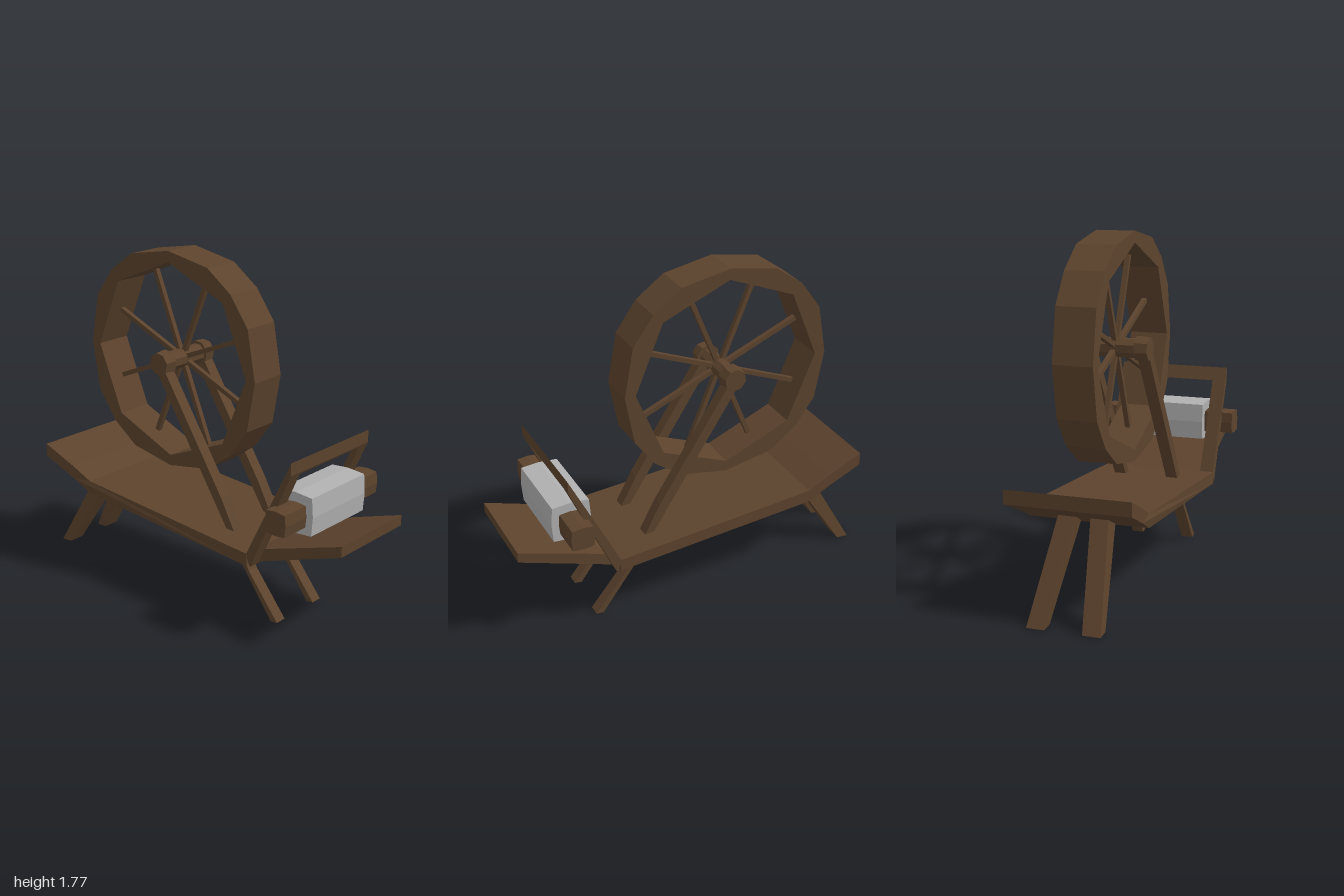
import * as THREE from 'three';

const wood = new THREE.MeshStandardMaterial({ color: 0x5c432d });
wood.name = 'dark wood';
const wool = new THREE.MeshStandardMaterial({ color: 0xb0b0b0 });
wool.name = 'grey thread';

// Prism from a side profile of [z, y] points, spanning x0..x1
function prism(points, x0, x1, holePoints) {
  const toVec = ([z, y]) => new THREE.Vector2(-z, y);
  const shape = new THREE.Shape(points.map(toVec));
  if (holePoints) shape.holes.push(new THREE.Path(holePoints.map(toVec)));
  const geo = new THREE.ExtrudeGeometry(shape, { depth: x1 - x0, bevelEnabled: false });
  return geo.translate(0, 0, x0).rotateY(Math.PI / 2);
}

// Move each vertex's x by a rule, then restore flat normals
function bendX(geo, rule) {
  const p = geo.attributes.position;
  for (let i = 0; i < p.count; i++) p.setX(i, rule(p.getX(i), p.getY(i), p.getZ(i)));
  geo.computeVertexNormals();
  return geo;
}

// Points on a circle at the given angles (degrees from the top)
function ring(z, y, r, angles) {
  return angles.map((a) => {
    const t = THREE.MathUtils.degToRad(a);
    return [z + r * Math.sin(t), y + r * Math.cos(t)];
  });
}

// Square with slightly bulging sides
function softSquare(z, y, h, bulge) {
  const b = h + bulge;
  return [[h, h], [0, b], [-h, h], [-b, 0], [-h, -h], [0, -b], [h, -h], [b, 0]]
    .map(([dz, dy]) => [z + dz, y + dy]);
}

export function createModel() {
  const model = new THREE.Group();
  model.name = 'spinningWheel';
  const add = (name, geo, mat = wood, parent = model) => {
    const mesh = new THREE.Mesh(geo, mat);
    mesh.name = name;
    parent.add(mesh);
    return mesh;
  };

  // Base board with raised, slightly flared tail
  const base = prism([
    [0.48, 0.41], [-0.63, 0.49], [-0.75, 0.55], [-0.945, 0.635],
    [-0.945, 0.565], [-0.75, 0.48], [-0.63, 0.42], [0.485, 0.345],
  ], -1, 1);
  add('baseBoard', bendX(base, (x, y, z) =>
    x > 0 ? 0.298 + 0.01 * z : -0.312 - 0.08 * Math.max(0, -0.63 - z)));

  // Narrower front plank
  add('frontPlank', prism([[1, 0.585], [0.48, 0.41], [0.485, 0.345], [1, 0.53]], -0.245, 0.245));

  // Wheel rim: sixteen sides outside, eight inside
  const hubZ = -0.225, hubY = 1.2;
  const outer = [0, 90, 180, 270].flatMap((q) => [q, q + 26.6, q + 45, q + 63.4]);
  const inner = [0, 45, 90, 135, 180, 225, 270, 315];
  const wheel = new THREE.Group();
  wheel.name = 'wheel';
  model.add(wheel);
  const rimPoints = outer.map((a) => ring(hubZ, hubY, a % 90 ? 0.587 : 0.573, [a])[0]);
  add('rim', prism(rimPoints, -0.1, 0.1, ring(hubZ, hubY, 0.515, inner)), wood, wheel);

  // Spokes
  for (let i = 0; i < 8; i++) {
    const geo = new THREE.BoxGeometry(0.026, 0.46, 0.024).translate(0, 0.25, 0);
    const spoke = add('spoke', geo, wood, wheel);
    spoke.position.set(0, hubY, hubZ);
    spoke.rotation.x = Math.PI / 8 + i * Math.PI / 4;
  }

  // Axle and its end caps
  const eight = inner.map((a) => a + 22.5);
  add('axle', prism(ring(hubZ, hubY, 0.05, eight), -0.13, 0.13), wood, wheel);
  for (const s of [-1, 1]) {
    const cap = new THREE.CylinderGeometry(0.06, 0.066, 0.065, 8).toNonIndexed();
    cap.computeVertexNormals();
    cap.rotateZ(-s * Math.PI / 2).rotateX(Math.PI / 8 + 0.15);
    add('axleCap', cap, wood, wheel).position.set(s * 0.147, hubY, hubZ);
  }

  // Long struts that carry the wheel and become the front legs
  for (const x of [-0.148, 0.145]) {
    add('wheelStrut', prism([
      [-0.2, 1.2], [0.2, 0.585], [0.39, 0.235], [0.575, 0.01],
      [0.535, 0.005], [0.345, 0.26], [0.15, 0.56], [-0.245, 1.17],
    ], x - 0.031, x + 0.031));
  }

  // Splayed rear legs
  for (const [x, s] of [[-0.16, 1], [0.117, -1]]) {
    const leg = prism([[-0.65, 0.44], [-0.73, 0.48], [-0.995, 0], [-0.93, 0.005]], x - 0.045, x + 0.045);
    add('rearLeg', bendX(leg, (px, y) => px + s * 0.12 * y));
  }

  // Leaning frame: two posts and a top bar
  const post = [[0.745, 0.95], [0.745, 0.885], [0.505, 0.345], [0.475, 0.4]];
  add('framePostRight', prism(post, -0.31, -0.237));
  add('framePostLeft', prism(post, 0.237, 0.305));
  add('frameBar', prism([[0.745, 0.95], [0.745, 0.885], [0.74, 0.875], [0.711, 0.88]], -0.24, 0.24));

  // Spindle rod with a wound bobbin
  add('spindleRod', prism(softSquare(0.705, 0.655, 0.056, 0.006), -0.37, 0.37));
  add('bobbin', prism(softSquare(0.7, 0.66, 0.097, 0.008), -0.212, 0.208), wool);

  return model;
}
